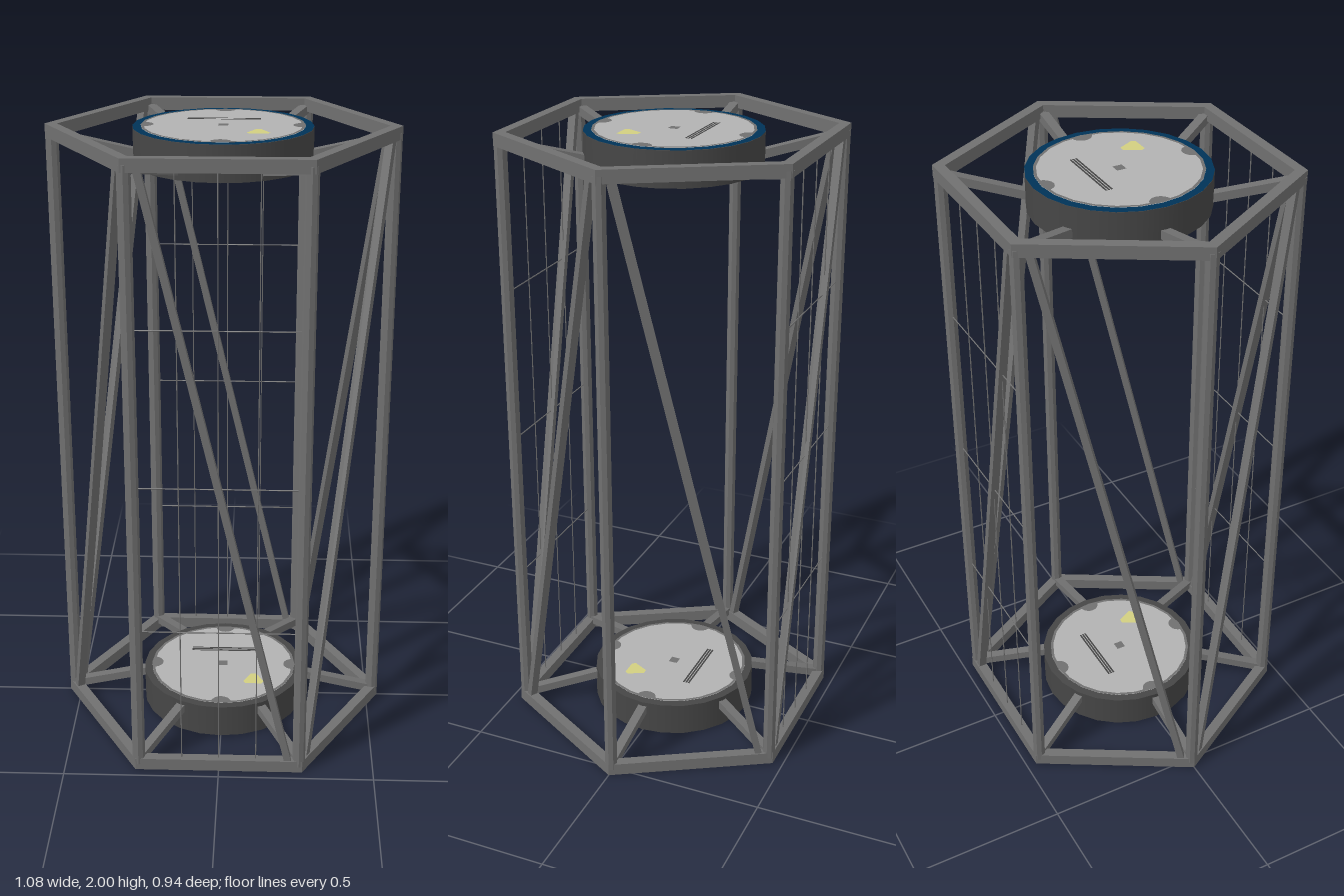
import * as THREE from 'three';

const mat = (name, color, flatShading = false) => {
  const m = new THREE.MeshStandardMaterial({ color, flatShading });
  m.name = name;
  return m;
};

export function createModel() {
  const model = new THREE.Group();
  model.name = 'hexagonalTruss';
  const frameGray = mat('frameGray', 0x707070, true);
  const hubGray = mat('hubGray', 0x464646);
  const plateGray = mat('plateGray', 0xb2b2b2);
  const detailGray = mat('detailGray', 0x707070);
  const lineGray = mat('lineGray', 0x444444);
  const rimBlue = mat('rimBlue', 0x003358);
  const markYellow = mat('markYellow', 0xd2cf80);

  const add = (parent, name, geo, material, x = 0, y = 0, z = 0) => {
    const m = new THREE.Mesh(geo, material);
    m.name = name;
    m.position.set(x, y, z);
    parent.add(m);
    return m;
  };
  // Corner k of the hexagon, at radius r and height y
  const corner = (k, r, y) => {
    const a = Math.PI / 6 + k * Math.PI / 3;
    return new THREE.Vector3(r * Math.sin(a), y, r * Math.cos(a));
  };
  // Round bar from a to b
  const bar = (name, a, b, radius, sides) => {
    const m = add(model, name, new THREE.CylinderGeometry(radius, radius, a.distanceTo(b), sides), frameGray);
    m.position.copy(a).add(b).multiplyScalar(0.5);
    m.quaternion.setFromUnitVectors(new THREE.Vector3(0, 1, 0), b.clone().sub(a).normalize());
  };
  // Square bar from a to b, its local y turned towards up
  const beam = (name, a, b, width, height, up) => {
    const m = add(model, name, new THREE.BoxGeometry(width, height, a.distanceTo(b)), frameGray);
    m.position.copy(a).add(b).multiplyScalar(0.5);
    m.up.copy(up);
    m.lookAt(b);
  };

  // Hexagonal end frames
  const hexPoints = r => Array.from({ length: 6 }, (_, k) => {
    const c = corner(k, r, 0);
    return new THREE.Vector2(c.x, -c.z);
  });
  const hexShape = new THREE.Shape(hexPoints(0.54));
  hexShape.holes.push(new THREE.Path(hexPoints(0.502)));
  const hexGeo = new THREE.ExtrudeGeometry(hexShape, { depth: 0.04, bevelEnabled: false });
  hexGeo.rotateX(-Math.PI / 2);
  add(model, 'bottomFrame', hexGeo, frameGray);
  add(model, 'topFrame', hexGeo, frameGray, 0, 1.96, 0);

  const upward = new THREE.Vector3(0, 1, 0);
  for (let k = 0; k < 6; k++) {
    // Corner posts
    bar('post', corner(k, 0.519, 0.02), corner(k, 0.519, 1.98), 0.0205, 8);
    // Zigzag braces: low at even corners, high at odd ones
    const a = corner(k, 0.52, k % 2 ? 1.965 : 0.035);
    const b = corner(k + 1, 0.52, k % 2 ? 0.035 : 1.965);
    const inset = (p, q) => new THREE.Vector3(p.x, p.y, p.z).lerp(new THREE.Vector3(q.x, p.y, q.z), 0.07);
    const outward = corner(k + 0.5, 1, 0);
    beam('brace', inset(a, b), inset(b, a), 0.022, 0.026, outward);
    // Sloping spokes that carry the hubs
    for (const top of [false, true]) {
      const h = y => (top ? 2 - y : y);
      beam('spoke', corner(k, 0.25, h(0.09)), corner(k, 0.51, h(0.033)), 0.03, 0.027, upward);
    }
  }

  // Thin wire grids on the front and back sides
  for (const z of [0.45, -0.45]) {
    for (const x of [-0.12, 0, 0.12]) {
      bar('gridWire', new THREE.Vector3(x, 0.03, z), new THREE.Vector3(x, 1.97, z), 0.002, 6);
    }
    for (const y of [0.505, 1, 1.5]) {
      bar('gridWire', new THREE.Vector3(-0.25, y, z), new THREE.Vector3(0.25, y, z), 0.002, 6);
    }
  }

  // Hub face: plate, rim and small painted details, facing up
  const flat = geo => geo.rotateX(-Math.PI / 2);
  const makeFace = rimMaterial => {
    const face = new THREE.Group();
    face.name = 'hubFace';
    add(face, 'rim', flat(new THREE.RingGeometry(0.246, 0.274, 24)), rimMaterial);
    add(face, 'plate', flat(new THREE.CircleGeometry(0.249, 24)), plateGray, 0, 0.001, 0);
    add(face, 'plateEdge', flat(new THREE.RingGeometry(0.24, 0.249, 24)), detailGray, 0, 0.002, 0);
    for (let i = 0; i < 4; i++) {
      const a = i * Math.PI / 2;
      const notch = flat(new THREE.CircleGeometry(0.033, 12, Math.PI, Math.PI));
      const m = add(face, 'notch', notch, detailGray, -Math.sin(a) * 0.243, 0.002, -Math.cos(a) * 0.243);
      m.rotation.y = a;
    }
    add(face, 'centreMark', flat(new THREE.PlaneGeometry(0.03, 0.03)), detailGray, 0, 0.002, 0);
    for (const i of [-1, 0, 1]) {
      add(face, 'slotLine', flat(new THREE.PlaneGeometry(0.225, 0.006)), lineGray, 0, 0.002, -0.092 + i * 0.009);
    }
    const tri = new THREE.Shape([[-0.028, -0.03], [0.028, -0.03], [0.035, -0.018], [0.009, 0.032],
      [-0.009, 0.032], [-0.035, -0.018]].map(p => new THREE.Vector2(...p)));
    add(face, 'warningMark', flat(new THREE.ShapeGeometry(tri)), markYellow, 0.107, 0.002, 0.097);
    return face;
  };

  // Drum hubs, blue rimmed on the outer side only
  for (const top of [true, false]) {
    const hub = new THREE.Group();
    hub.name = top ? 'topHub' : 'bottomHub';
    hub.position.y = top ? 1.942 : 0.058;
    add(hub, 'hubDrum', new THREE.CylinderGeometry(0.274, 0.274, 0.11, 24), hubGray);
    const upper = makeFace(top ? rimBlue : hubGray);
    upper.position.y = 0.056;
    const lower = makeFace(top ? hubGray : rimBlue);
    lower.position.y = -0.056;
    lower.rotation.x = Math.PI;
    hub.add(upper, lower);
    model.add(hub);
  }
  return model;
}
